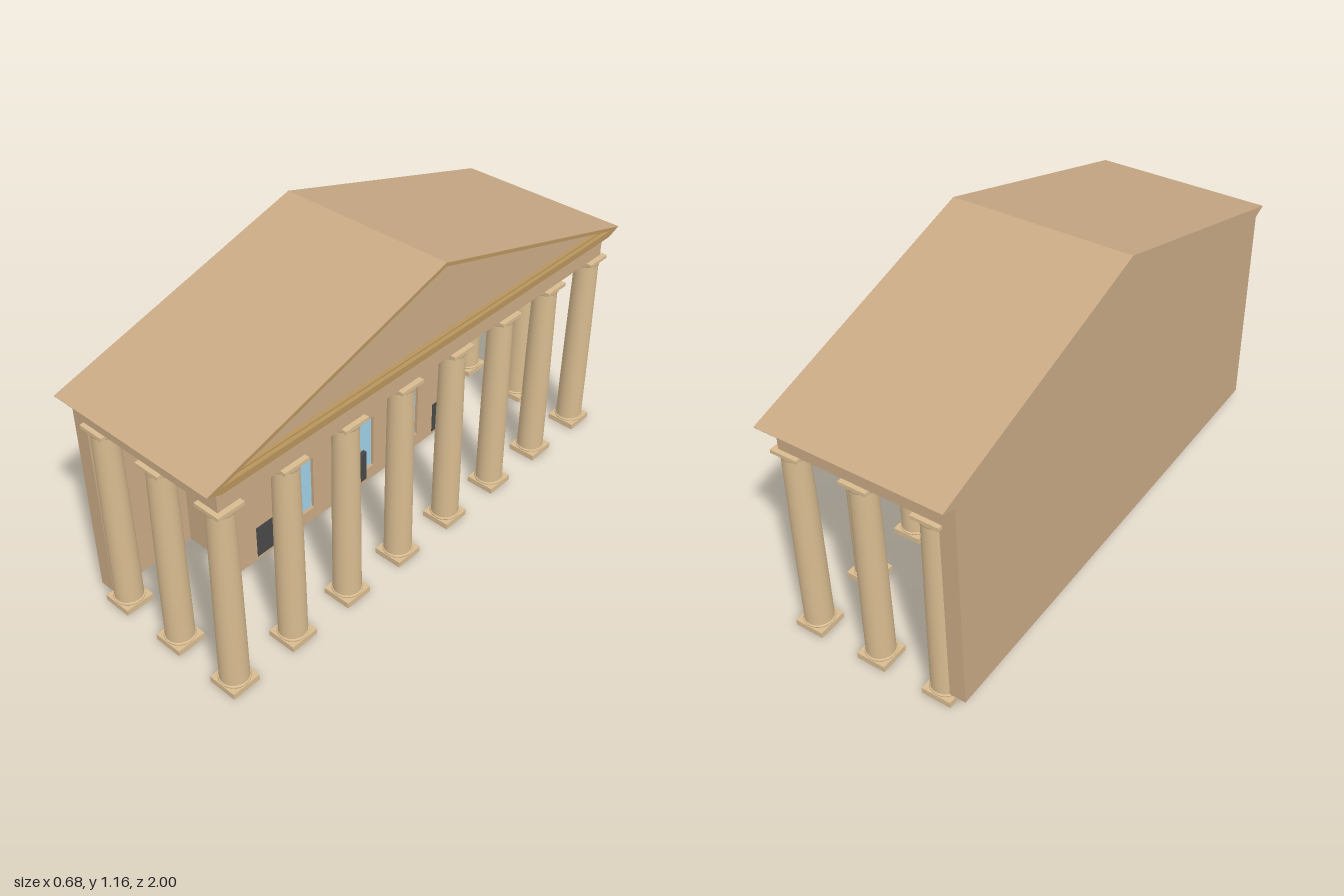
import * as THREE from 'three';

const mat = (color) => new THREE.MeshStandardMaterial({ color });
const stone = mat(0xc9a985);
const columnStone = mat(0xd8bb90);
const trimStone = mat(0xb8945c);
const glass = mat(0xa0d0e6);
const doorMat = mat(0x484848);
const padMat = mat(0x888888);

function add(parent, name, geometry, material, x = 0, y = 0, z = 0) {
  const mesh = new THREE.Mesh(geometry, material);
  mesh.name = name;
  mesh.position.set(x, y, z);
  parent.add(mesh);
  return mesh;
}

// Box given by its limits on each axis
function block(parent, name, material, [x0, x1], [y0, y1], [z0, z1]) {
  return add(parent, name, new THREE.BoxGeometry(x1 - x0, y1 - y0, z1 - z0), material,
    (x0 + x1) / 2, (y0 + y1) / 2, (z0 + z1) / 2);
}

const outline = (points) => points.map(([a, b]) => new THREE.Vector2(a, b));

// Profile in the z-y plane, extruded along x from x0 to x1
function extrudeX(parent, name, material, points, holes, x0, x1) {
  const shape = new THREE.Shape(outline(points));
  holes.forEach((h) => shape.holes.push(new THREE.Path(outline(h))));
  const geo = new THREE.ExtrudeGeometry(shape, { depth: x1 - x0, bevelEnabled: false });
  geo.rotateY(Math.PI / 2);
  return add(parent, name, geo, material, x0, 0, 0);
}

const rect = (z0, z1, y0, y1) => [[z0, y0], [z1, y0], [z1, y1], [z0, y1]];

// Shared column geometries
const baseRing = new THREE.LatheGeometry(outline([
  [0, 0.022], [0.05, 0.022], [0.0535, 0.024], [0.0545, 0.027], [0.0535, 0.03], [0.05, 0.032]]), 32);
const shaft = new THREE.LatheGeometry(outline([
  [0.0495, 0.031], [0.049, 0.2], [0.0475, 0.42], [0.0455, 0.6], [0.044, 0.735]]), 32);
const capitalRing = new THREE.LatheGeometry(outline([
  [0.044, 0.729], [0.0475, 0.731], [0.0485, 0.735], [0.0485, 0.739], [0.0495, 0.743]]), 32);
const plinth = new THREE.BoxGeometry(0.11, 0.022, 0.11);
const abacus = new THREE.BoxGeometry(0.102, 0.013, 0.102);

function column(x, z) {
  const g = new THREE.Group();
  g.name = 'column';
  add(g, 'plinth', plinth,
    [columnStone, columnStone, columnStone, padMat, columnStone, columnStone], 0, 0.011, 0);
  add(g, 'baseRing', baseRing, columnStone);
  add(g, 'shaft', shaft, columnStone);
  add(g, 'capitalRing', capitalRing, columnStone);
  add(g, 'abacus', abacus, columnStone, 0, 0.749, 0);
  g.position.set(x, 0, z);
  return g;
}

export function createModel() {
  const model = new THREE.Group();
  model.name = 'temple';

  // Rear wall across the full width, and the hall in front of it
  block(model, 'rearWall', stone, [-0.34, -0.28], [0.035, 0.757], [-0.945, 0.945]);
  block(model, 'hall', stone, [-0.28, -0.045], [0.035, 0.757], [-0.6, 0.6]);

  // Facade with recessed window openings
  const openings = [];
  for (const [z0, z1] of [[-0.335, -0.23], [-0.085, 0.085], [0.23, 0.335]]) {
    for (const [y0, y1] of [[0.09, 0.32], [0.38, 0.55]]) {
      openings.push(rect(z0, z1, y0, y1));
      block(model, 'window', glass, [-0.046, -0.042], [y0, y1], [z0, z1]);
    }
  }
  extrudeX(model, 'facade', stone, rect(-0.6, 0.6, 0.035, 0.757), openings, -0.045, -0.03);

  // Doors
  for (const z of [-0.467, 0, 0.467]) {
    block(model, 'door', doorMat, [-0.044, -0.027], [0.05, 0.18], [z - 0.044, z + 0.044]);
  }

  // Front row of columns, then two more on each side
  for (let i = 0; i < 8; i++) model.add(column(0.28, -0.91 + i * 0.26));
  for (const z of [-0.91, 0.91]) {
    for (const x of [0.02, -0.24]) model.add(column(x, z));
  }

  // Entablature resting on the columns
  block(model, 'entablature', stone, [-0.34, 0.312], [0.756, 0.842], [-0.945, 0.945]);

  // Gable roof with undercut eaves
  const gable = [[-0.945, 0.842], [0.945, 0.842], [1, 0.862], [0, 1.155], [-1, 0.862]];
  extrudeX(model, 'roof', stone, gable, [], -0.34, 0.312);

  // Stepped pediment frame around the recessed gable face
  const inner = (t, y) => {
    const top = 1.155 - t;
    const z = (top - y) / 0.293;
    return [[-z, y], [z, y], [0, top]];
  };
  extrudeX(model, 'pedimentRim', trimStone, gable, [inner(0.013, 0.866)], 0.312, 0.34);
  extrudeX(model, 'pedimentInnerRim', trimStone, inner(0.013, 0.866), [inner(0.02, 0.872)], 0.312, 0.326);

  // Roof covering over the front rim
  const covering = [[-1, 0.862], [0, 1.155], [1, 0.862], [1, 0.8635], [0, 1.1565], [-1, 0.8635]];
  extrudeX(model, 'roofCovering', stone, covering, [], -0.34, 0.34);
  return model;
}
